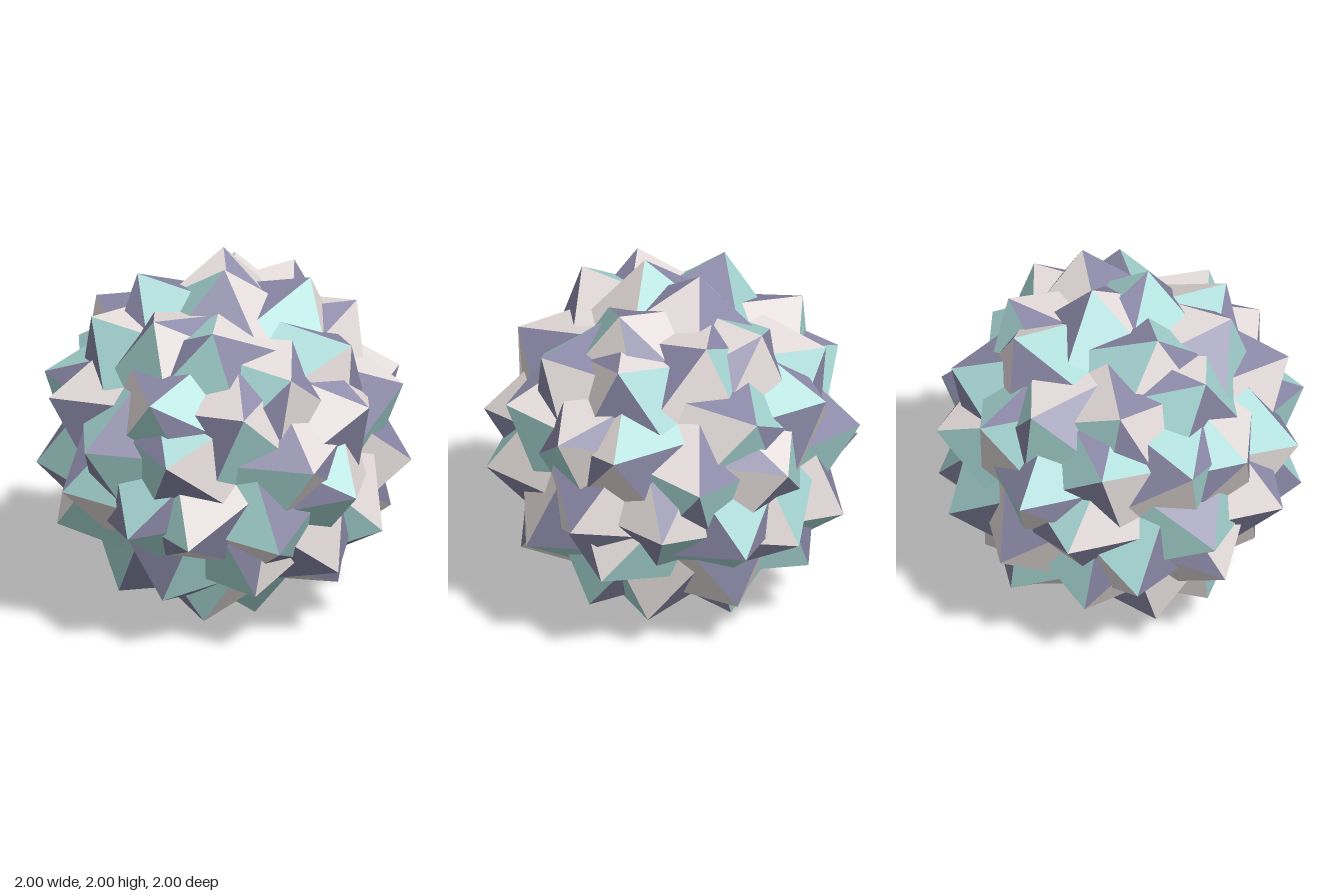
import * as THREE from 'three';

const PHI = (1 + Math.sqrt(5)) / 2;
const V = (x, y, z) => new THREE.Vector3(x, y, z);

// One spike tip; its 60 icosahedral rotations give every tip of the ball
const tip = V(0.1415, 1, 0.101);
const starAxis = V(-1, PHI, 0).normalize();
const pairAxis = V(1 / PHI, PHI, -1).normalize();
const spin = (v, axis, angle) => v.clone().applyAxisAngle(axis, angle);
const cycle = (v, n) => [V(v.x, v.y, v.z), V(v.z, v.x, v.y), V(v.y, v.z, v.x)][n];

// The 12 tetrahedral rotations: axis cycling and even sign changes
const turns = [];
for (let n = 0; n < 3; n++) {
  for (const s of [V(1, 1, 1), V(1, -1, -1), V(-1, 1, -1), V(-1, -1, 1)]) {
    turns.push((v) => cycle(v, n).multiply(s));
  }
}

// Tips whose own triangle is teal, each repeated around one three-fold axis
const tealTips = [];
for (const p of [
  [0.14, 1, 0.1], [-0.36, 0.3, 0.9], [-0.9, 0.36, 0.3], [-0.1, -0.14, 1], [0.42, 0.46, 0.8],
  [0.46, 0.8, 0.42], [0.58, 0.16, 0.82], [-0.72, -0.65, -0.32], [0.58, -0.16, -0.82], [-0.72, 0.65, 0.32],
]) {
  let v = V(...p);
  for (let i = 0; i < 3; i++) {
    tealTips.push(v);
    v = V(-v.z, v.x, -v.y);
  }
}
const isTeal = (v) => tealTips.some((t) => t.distanceTo(v) < 0.06);

// Adds a triangle wound so that it faces away from the centre
function addTriangle(list, a, b, c) {
  const normal = b.clone().sub(a).cross(c.clone().sub(a));
  const corners = normal.dot(a) > 0 ? [a, b, c] : [a, c, b];
  for (const p of corners) list.push(p.x, p.y, p.z);
}

// Adds a filled five-pointed star from its tips in 72 degree order
function addStar(list, points) {
  const centre = points.reduce((sum, p) => sum.add(p), V(0, 0, 0)).divideScalar(5);
  const notch = (k) => centre.clone().lerp(points[k % 5], -1 / (PHI * PHI));
  points.forEach((p, k) => {
    addTriangle(list, centre, notch(k + 2), p);
    addTriangle(list, centre, p, notch(k + 3));
  });
}

function makeMesh(name, positions, color) {
  const geometry = new THREE.BufferGeometry();
  geometry.setAttribute('position', new THREE.Float32BufferAttribute(positions, 3));
  geometry.computeVertexNormals();
  const mesh = new THREE.Mesh(
    geometry,
    new THREE.MeshStandardMaterial({ color, flatShading: true, side: THREE.DoubleSide })
  );
  mesh.name = name;
  return mesh;
}

export function createModel() {
  const stars = [], axisTriangles = [], teal = [], white = [];
  const fifth = (Math.PI * 2) / 5;
  const pick = V(1, 0.37, 0.73); // chooses one of three equal copies

  // Corners of the basic faces at one tip
  const snub = [tip, spin(tip, pairAxis, Math.PI), spin(tip, starAxis, 2 * fifth)];
  const regular = [0, 1, 2].map((n) => cycle(tip, n));

  for (const turn of turns) {
    const starTips = [];
    for (let k = 0; k < 5; k++) {
      const place = (v) => turn(spin(v, starAxis, k * fifth));
      starTips.push(place(tip));

      // Triangles joined in pairs, one teal and one white
      const s = snub.map(place);
      addTriangle(isTeal(s[0]) ? teal : white, ...s);

      // Triangles centred on the three-fold axes
      const t = regular.map(place);
      const d = t.map((p) => p.dot(pick));
      if (d[0] > d[1] && d[0] > d[2]) addTriangle(axisTriangles, ...t);
    }
    addStar(stars, starTips);
  }

  const group = new THREE.Group();
  group.name = 'spikyBall';
  group.add(
    makeMesh('starFaces', stars, 0x8a88a6),
    makeMesh('axisTriangles', axisTriangles, 0x8a88a6),
    makeMesh('tealTriangles', teal, 0xa6d6d3),
    makeMesh('whiteTriangles', white, 0xe6dedc)
  );
  // Rest the lowest tips on the ground
  group.children.forEach((m) => (m.position.y = 1));
  return group;
}
